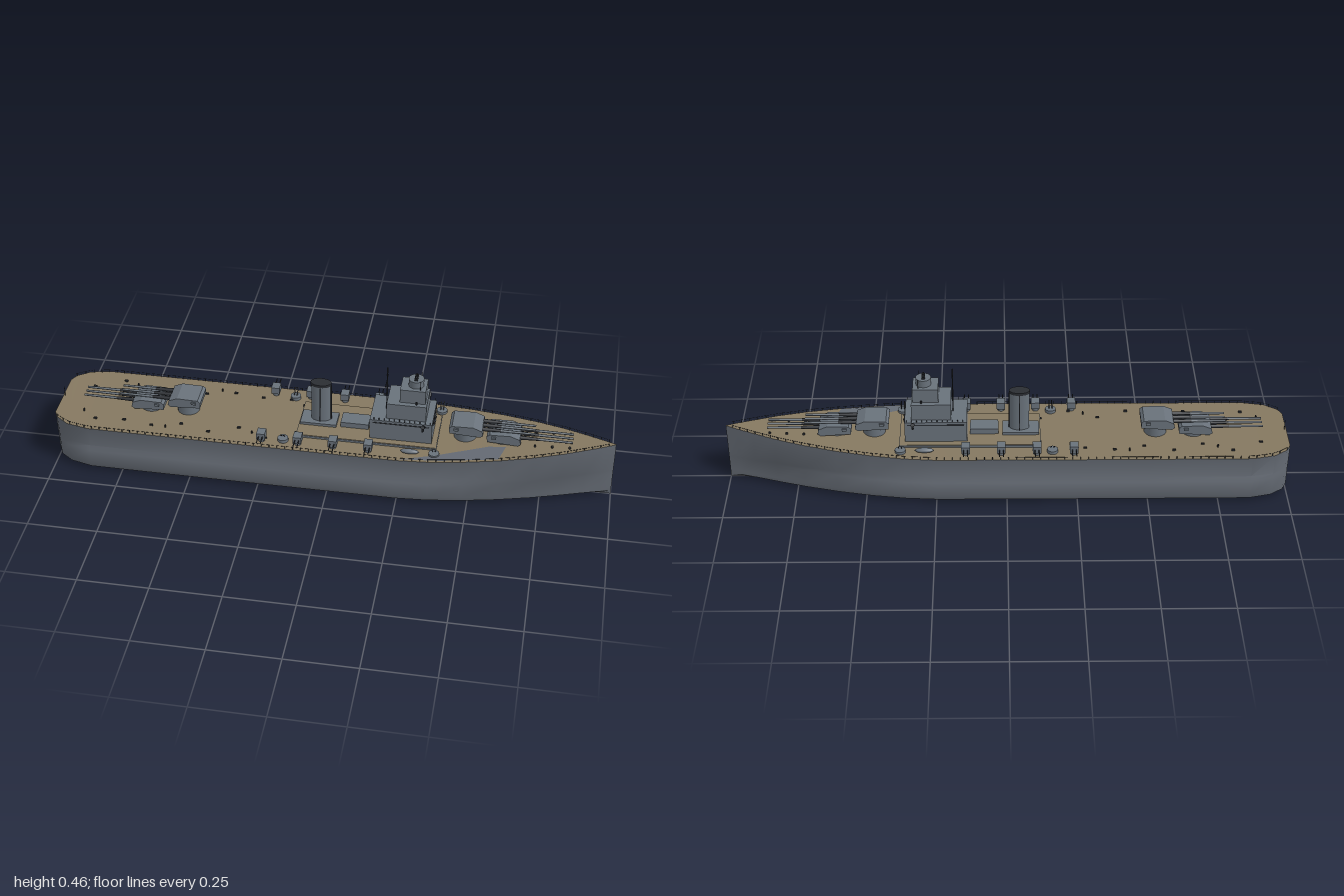
import * as THREE from 'three';
import { mergeGeometries, toCreasedNormals } from 'three/addons/utils/BufferGeometryUtils.js';

const mat = (name, color, side = THREE.FrontSide) => {
  const m = new THREE.MeshStandardMaterial({ color, side });
  m.name = name;
  return m;
};

// Hull stations: x, half width, deck height, fullness below the waterline
const STATIONS = [
  [-1, 0.1, 0.192, 0.92], [-0.985, 0.128, 0.192, 0.95], [-0.94, 0.16, 0.191, 0.97], [-0.86, 0.176, 0.19, 1],
  [-0.5, 0.177, 0.19, 1], [0, 0.177, 0.19, 1], [0.25, 0.176, 0.19, 1], [0.36, 0.17, 0.192, 0.99],
  [0.48, 0.155, 0.196, 0.97], [0.6, 0.134, 0.201, 0.93], [0.72, 0.105, 0.207, 0.88],
  [0.82, 0.074, 0.212, 0.82], [0.9, 0.043, 0.216, 0.78], [0.96, 0.019, 0.219, 0.75], [1, 0.001, 0.221, 0.75],
];
const station = (x) => {
  let i = 0;
  while (i < STATIONS.length - 2 && x > STATIONS[i + 1][0]) i++;
  const a = STATIONS[i], b = STATIONS[i + 1], t = (x - a[0]) / (b[0] - a[0]);
  return { w: a[1] + (b[1] - a[1]) * t, y: a[2] + (b[2] - a[2]) * t };
};
const meshGeometry = (pos, idx) => {
  const g = new THREE.BufferGeometry();
  g.setAttribute('position', new THREE.Float32BufferAttribute(pos, 3));
  g.setIndex(idx);
  g.computeVertexNormals();
  return g;
};

function hullGeometry() {
  const pos = [], idx = [];
  for (const [x, w, top, f] of STATIONS) {
    const half = [[w, top], [w * 0.945, 0.107], [w * f, 0.09], [w * f, 0.032], [w * f * 0.965, 0.015]];
    const loop = [...half, [0, 0], ...half.map(([z, y]) => [-z, y]).reverse()];
    for (const [z, y] of loop) pos.push(x, y, z);
  }
  const n = 11;
  for (let i = 0; i < STATIONS.length - 1; i++)
    for (let j = 0; j < n - 1; j++) {
      const a = i * n + j, b = a + n;
      idx.push(a, a + 1, b, b, a + 1, b + 1);
    }
  const c = pos.length / 3; // transom
  pos.push(-1, 0.1, 0);
  for (let j = 0; j < n; j++) idx.push(c, (j + 1) % n, j);
  return toCreasedNormals(meshGeometry(pos, idx), 0.65);
}

function deckGeometry() {
  const pos = [], idx = [];
  STATIONS.forEach(([x, w, y], i) => {
    pos.push(x, y, w, x, y, -w);
    const a = i * 2;
    if (i) idx.push(a - 2, a, a - 1, a, a + 1, a - 1);
  });
  return meshGeometry(pos, idx);
}

// Geometry helpers; boxes and cylinders stand on y
const box = (x, y, z, w, h, d) => new THREE.BoxGeometry(w, h, d).translate(x, y + h / 2, z);
const cyl = (x, y, z, r, h, n = 16, r2 = r) => new THREE.CylinderGeometry(r2, r, h, n).translate(x, y + h / 2, z);
const rod = (a, b, r = 0.0012, n = 5) => {
  const A = new THREE.Vector3(...a), B = new THREE.Vector3(...b);
  return new THREE.TubeGeometry(new THREE.LineCurve3(A, B), 1, r, n, false);
};
const barrel = (x0, x1, y, z, r) =>
  new THREE.CylinderGeometry(r * 0.7, r, x1 - x0, 8).rotateZ(-Math.PI / 2).translate((x0 + x1) / 2, y, z);
const profile = (pts, depth) =>
  new THREE.ExtrudeGeometry(new THREE.Shape(pts.map((p) => new THREE.Vector2(...p))), { depth, bevelEnabled: false })
    .translate(0, 0, -depth / 2);

export function createModel() {
  const grey = mat('hull grey', 0x646a73), steel = mat('superstructure grey', 0x69727b);
  const wood = mat('deck wood', 0x857860, THREE.DoubleSide), dark = mat('dark fittings', 0x2b2e33, THREE.DoubleSide);
  const plate = mat('deck plate grey', 0x646a73, THREE.DoubleSide);
  const ship = new THREE.Group();
  ship.name = 'warship';
  const add = (name, geo, m, parent = ship) => {
    const g = Array.isArray(geo) ? mergeGeometries(geo.map((q) => (q.index ? q.toNonIndexed() : q))) : geo;
    const mesh = new THREE.Mesh(g, m);
    mesh.name = name;
    parent.add(mesh);
    return mesh;
  };

  add('hull', hullGeometry(), grey);
  add('mainDeck', deckGeometry(), wood);

  // Bare steel patches on the foredeck
  const patch = (name, pts, m) => add(name, meshGeometry(
    pts.flatMap(([x, z]) => [x, station(x).y + 0.0025, z]),
    Array.from({ length: pts.length - 2 }, (_, i) => [0, i + 1, i + 2]).flat()), m);
  patch('foredeckPlate', [[0.6, 0.128], [0.62, 0.056], [0.56, 0.06], [0.38, 0.132], [0.26, 0.17], [0.4, 0.16]], plate);
  patch('bowPlate', [[0.95, -0.021], [0.84, -0.065], [0.9, -0.04]], dark);

  // Deck edge railing and staffs
  const rails = [];
  for (const s of [-1, 1]) {
    let prev = null;
    for (let x = -0.985; x < 0.99; x += 0.028) {
      const { w, y } = station(x), z = s * w * 0.985;
      rails.push(box(x, y, z, 0.002, 0.011, 0.002));
      if (prev) rails.push(rod(prev, [x, y + 0.01, z], 0.0006, 3));
      prev = [x, y + 0.01, z];
    }
  }
  rails.push(rod([-0.993, 0.19, 0], [-0.993, 0.232, 0]));
  add('railing', rails, dark);

  // Raised midship deck
  add('midshipDeckSides', box(0.13, 0.186, 0, 0.5, 0.012, 0.2), steel);
  add('midshipDeckTop', box(0.13, 0.198, 0, 0.496, 0.002, 0.196), wood);

  // Main turrets: each end carries a low and a raised mount
  const turret = (name, x, y, dir, base) => {
    const g = new THREE.Group();
    g.name = name;
    add('barbette', cyl(-0.005, base - y, 0, 0.04, y - base + 0.004, 20), steel, g);
    const house = profile([[-0.058, 0.006], [0.05, 0], [0.06, 0.008], [0.056, 0.026], [0.025, 0.039], [-0.05, 0.037], [-0.06, 0.028]], 0.094);
    add('gunHouse', house, steel, g);
    add('rangefinder', box(-0.035, 0.022, 0, 0.016, 0.009, 0.106), steel, g);
    add('barrels', [-0.024, 0, 0.024].map((z) => barrel(0.05, 0.24, 0.022, z, 0.0055)), steel, g);
    add('barrelSleeves', [-0.024, 0, 0.024].map((z) => barrel(0.055, 0.12, 0.022, z, 0.0075)), dark, g);
    g.position.set(x, y, 0);
    if (dir < 0) g.rotation.y = Math.PI;
    ship.add(g);
  };
  turret('foreRaisedTurret', 0.477, 0.227, 1, 0.19);
  turret('foreLowTurret', 0.61, 0.206, 1, 0.195);
  turret('aftRaisedTurret', -0.535, 0.225, -1, 0.185);
  turret('aftLowTurret', -0.67, 0.202, -1, 0.185);

  // Bridge tower
  add('towerBase', [box(0.25, 0.19, 0, 0.22, 0.09, 0.15), box(0.25, 0.19, 0, 0.17, 0.085, 0.106)], steel);
  add('towerMiddle', box(0.266, 0.28, 0, 0.14, 0.062, 0.115), steel);
  add('towerUpper', box(0.285, 0.34, 0, 0.09, 0.055, 0.08), steel);
  add('towerTop', cyl(0.292, 0.395, 0, 0.027, 0.027, 24), steel);
  add('rangefinderArm', [box(0.292, 0.423, 0, 0.012, 0.004, 0.036), box(0.292, 0.43, 0, 0.006, 0.003, 0.034), cyl(0.292, 0.42, 0, 0.004, 0.018, 8)], dark);
  const bridge = [box(0.361, 0.267, 0, 0.003, 0.007, 0.118)];
  for (const s of [-1, 1]) bridge.push(
    box(0.25, 0.267, s * 0.0755, 0.2, 0.004, 0.002),
    rod([0.31, 0.395, s * 0.03], [0.31, 0.43, s * 0.03]), rod([0.3, 0.345, s * 0.05], [0.3, 0.355, s * 0.05], 0.003),
    cyl(0.362, 0.242, s * 0.014, 0.003, 0.012, 6, 0.006));
  for (let i = 0; i < 12; i++) bridge.push(box(0.155 + i * 0.018, 0.28, 0.073, 0.002, 0.01, 0.002), box(0.155 + i * 0.018, 0.28, -0.073, 0.002, 0.01, 0.002));
  add('bridgeFittings', bridge, dark);

  // Mast with yards
  add('mast', [rod([0.19, 0.28, 0], [0.19, 0.455, 0], 0.0025, 6), rod([0.19, 0.41, -0.025], [0.19, 0.41, 0.06]),
    rod([0.19, 0.435, -0.018], [0.19, 0.435, 0.018]), rod([0.19, 0.36, -0.03], [0.19, 0.36, 0.03])], dark);

  // Funnel: oval stack with dark cap and side pipes
  const oval = (r, y, h) => cyl(0, y, 0, r, h, 24).scale(1, 1, 0.62).translate(-0.045, 0, 0);
  add('funnelBase', box(-0.05, 0.19, 0, 0.13, 0.02, 0.075), steel);
  add('funnel', oval(0.035, 0.2, 0.163), steel);
  add('funnelCap', [oval(0.037, 0.356, 0.01), rod([-0.009, 0.21, 0], [-0.009, 0.355, 0], 0.003),
    rod([-0.045, 0.21, 0.023], [-0.045, 0.355, 0.023], 0.002), rod([-0.045, 0.21, -0.023], [-0.045, 0.355, -0.023], 0.002)], dark);
  add('midshipHouse', box(0.08, 0.198, 0, 0.1, 0.022, 0.06), steel);

  // Broadside fittings, mirrored port and starboard
  for (const s of [-1, 1]) {
    const side = s > 0 ? 'right' : 'left';
    [-0.235, -0.105, 0.02, 0.145].forEach((x, i) => {
      const z = s * 0.138;
      add(`${side}SecondaryTurret${i + 1}`, [cyl(x, 0.188, z, 0.012, 0.018, 12), box(x, 0.203, z, 0.03, 0.026, 0.036)], steel);
      add(`${side}SecondaryGuns${i + 1}`, [-0.007, 0.007].map((d) => rod([x + d, 0.217, s * 0.15], [x + d, 0.218, s * 0.194], 0.002)), dark);
    });
    for (const x of [-0.16, 0.375]) {
      add(`${side}GunTub`, [cyl(x, 0.188, s * 0.127, 0.019, 0.014, 16)], steel);
      add(`${side}TubGuns`, [-0.005, 0.005].map((d) => rod([x + d, 0.205, s * 0.122], [x + d, 0.225, s * 0.145], 0.002)), dark);
    }
    add(`${side}Boat`, new THREE.SphereGeometry(1, 10, 6).scale(0.034, 0.009, 0.011).translate(0.29, 0.203, s * 0.133), steel);
    // Directors on brackets beside the tower
    add(`${side}Director`, [rod([0.33, 0.268, s * 0.07], [0.33, 0.272, s * 0.105], 0.003), cyl(0.33, 0.27, s * 0.098, 0.004, 0.012, 8),
      new THREE.CylinderGeometry(0.007, 0.007, 0.016, 10).rotateX(s * 1).translate(0.33, 0.285, s * 0.097)], dark);
  }

  // Small hatches, vents and bollards along the deck
  const bits = [];
  for (let i = 0; i < 16; i++) {
    const x = -0.9 + i * 0.052, z = 0.075 + 0.05 * Math.abs(Math.sin(i * 2.3));
    const s = i % 2 ? 1 : -1;
    bits.push(box(x, 0.189, s * z, 0.012, 0.006, 0.007));
    if (i % 3 === 0) bits.push(cyl(x, 0.189, -s * z, 0.003, 0.012, 6));
  }
  for (const s of [-1, 1]) for (const x of [0.72, 0.78, 0.84]) bits.push(cyl(x, station(x).y, s * 0.04, 0.004, 0.007, 8));
  add('deckFittings', bits, dark);

  return ship;
}
